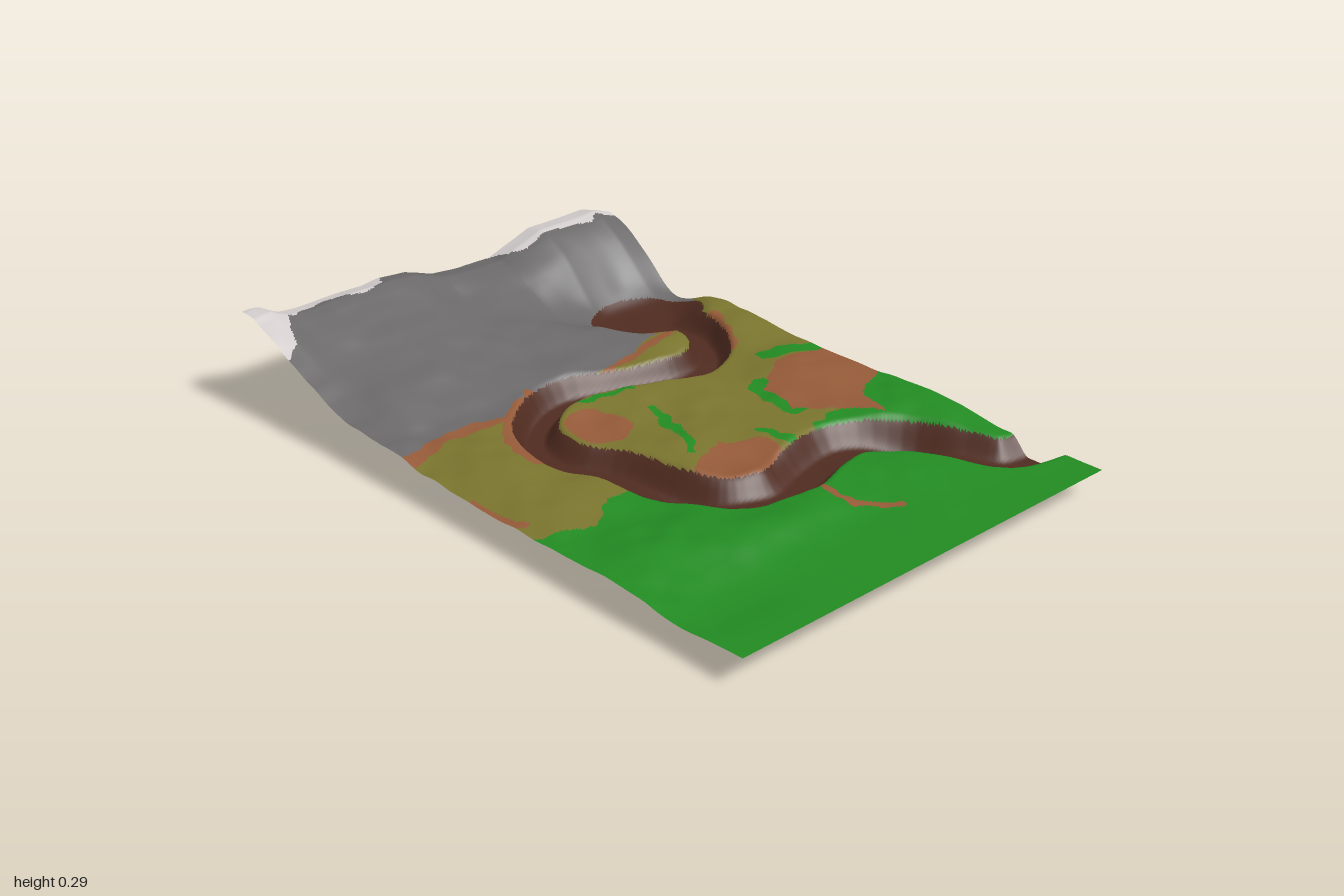
import * as THREE from 'three';

const W = 2 / 3, NX = 176, NZ = 264;
const { smoothstep, lerp, clamp } = THREE.MathUtils;

// --- helpers -------------------------------------------------------------
// piecewise curve through [position, value] pairs, ascending position
function curve(pairs, p) {
  if (p <= pairs[0][0]) return pairs[0][1];
  for (let i = 1; i < pairs.length; i++) {
    const [a, u] = pairs[i - 1], [b, v] = pairs[i];
    if (p <= b) return lerp(u, v, (p - a) / (b - a));
  }
  return pairs[pairs.length - 1][1];
}

function hash(i, j) {
  const s = Math.sin(i * 127.1 + j * 311.7 + 4.3) * 43758.5453;
  return (s - Math.floor(s)) * 2 - 1;
}

function noise(x, z) {
  const i = Math.floor(x), j = Math.floor(z);
  const u = smoothstep(x - i, 0, 1), v = smoothstep(z - j, 0, 1);
  return lerp(lerp(hash(i, j), hash(i + 1, j), u), lerp(hash(i, j + 1), hash(i + 1, j + 1), u), v);
}

// distance from a point to a polyline
function distance(path, x, z) {
  let best = Infinity;
  for (let i = 1; i < path.length; i++) {
    const [ax, az] = path[i - 1], dx = path[i][0] - ax, dz = path[i][1] - az;
    const t = clamp(((x - ax) * dx + (z - az) * dz) / (dx * dx + dz * dz), 0, 1);
    best = Math.min(best, Math.hypot(x - ax - t * dx, z - az - t * dz));
  }
  return best;
}

const inEllipse = ([cx, cz, rx, rz], x, z) => ((x - cx) / rx) ** 2 + ((z - cz) / rz) ** 2 < 1;

function inPolygon(poly, x, z) {
  let inside = false;
  for (let i = 0, j = poly.length - 1; i < poly.length; j = i++) {
    const [ax, az] = poly[i], [bx, bz] = poly[j];
    if ((az > z) !== (bz > z) && x < ((bx - ax) * (z - az)) / (bz - az) + ax) inside = !inside;
  }
  return inside;
}

// sum of smooth hills and hollows: x, z, radius x, radius z, height
const hills = (list, x, z) => list.reduce(
  (sum, [cx, cz, rx, rz, h]) => sum + h * Math.exp(-(((x - cx) / rx) ** 2) - ((z - cz) / rz) ** 2), 0);

// --- layout --------------------------------------------------------------
const riverPoints = [
  [0.76, 0.80], [0.66, 0.79], [0.56, 0.76], [0.50, 0.64], [0.43, 0.51], [0.31, 0.42], [0.17, 0.435],
  [0, 0.48], [-0.14, 0.42], [-0.22, 0.28], [-0.25, 0.11], [-0.31, -0.05], [-0.285, -0.18],
  [-0.19, -0.265], [-0.05, -0.295], [0.14, -0.24], [0.30, -0.20], [0.41, -0.225], [0.48, -0.31],
  [0.50, -0.42], [0.47, -0.52]];
const river = new THREE.CatmullRomCurve3(riverPoints.map(([x, z]) => new THREE.Vector3(x, 0, z)))
  .getPoints(90).map(p => [p.x, p.z]);
const riverWidth = [[-0.36, 0.066], [-0.3, 0.058], [-0.15, 0.066], [0.05, 0.087], [0.5, 0.087], [0.8, 0.08]];

const ridge = [[-W, 0.27], [-0.61, 0.28], [-0.55, 0.265], [-0.25, 0.262], [-0.2, 0.268], [-0.1, 0.257],
  [0, 0.22], [0.1, 0.21], [0.22, 0.21], [0.28, 0.235], [0.38, 0.273], [0.6, 0.275], [W, 0.25]];
const slope = [[-1, 0.92], [-0.94, 1], [-0.9, 0.93], [-0.8, 0.68], [-0.7, 0.47], [-0.6, 0.29], [-0.5, 0.14], [-0.36, 0]];
const plain = [[-0.4, 0.105], [-0.3, 0.102], [-0.1, 0.097], [0.1, 0.092], [0.4, 0.093], [0.7, 0.085], [0.92, 0.082], [1, 0.083]];
const landHills = [
  [-0.5, 0.8, 0.25, 0.1, -0.016], [-0.5, 0.52, 0.2, 0.1, 0.022], [-0.18, 0.63, 0.2, 0.08, 0.026],
  [0.05, 0.74, 0.1, 0.08, -0.008], [0.5, 0.12, 0.14, 0.12, 0.026], [0.6, 0.45, 0.1, 0.14, 0.02],
  [0.6, -0.3, 0.1, 0.13, 0.028], [0.35, -0.34, 0.09, 0.07, 0.015], [-0.52, -0.12, 0.12, 0.12, 0.014],
  [0.3, 0.66, 0.12, 0.1, 0.014], [0, 0.32, 0.12, 0.09, -0.012], [-0.14, -0.09, 0.09, 0.09, -0.01],
  [0.48, -0.66, 0.25, 0.15, -0.11], [0.68, -0.62, 0.08, 0.1, -0.04], [-0.66, -1, 0.08, 0.08, 0.035],
  [-0.3, -0.66, 0.1, 0.16, 0.018], [-0.5, -0.5, 0.09, 0.12, 0.012], [0.05, -0.6, 0.12, 0.1, 0.012]];
const bedHollows = [[-0.2, 0.33, 0.1, 0.12, -0.022], [0.45, 0.52, 0.09, 0.1, -0.022]];

// 1 at the water's edge, 0 at the middle of the channel
function channel(x, z) {
  const pond = Math.hypot((x - 0.46) / 0.178, (z + 0.54) / 0.158);
  return Math.min(distance(river, x, z) / curve(riverWidth, z), pond);
}

function height(x, z) {
  let y = curve(plain, z);
  y += curve(slope, z) * (curve(ridge, x) - y) + hills(landHills, x, z);
  const rough = smoothstep(0.98 - z, 0, 0.45) * smoothstep(z + 1, -0.1, 0.2);
  const rocky = 1 + 0.7 * smoothstep(-z, 0.35, 0.6);
  y += rough * (rocky * 0.01 * noise(x * 6 + 3, z * 6) + 0.004 * noise(x * 15, z * 15 + 7));
  const bed = lerp(0.028, 0.044, smoothstep(-z, 0, 0.4)) + 0.005 * noise(x * 8 + 9, z * 8) + hills(bedHollows, x, z);
  return lerp(bed, Math.max(y, bed), smoothstep(channel(x, z), 0.35, 1.18));
}

// --- ground cover --------------------------------------------------------
const rockEdge = [[-W, -0.25], [-0.48, -0.32], [-0.3, -0.28], [-0.07, -0.35], [0.14, -0.33], [0.35, -0.38], [0.5, -0.4], [0.6, -0.46], [W, -0.56]];
const grassEdge = [[-W, 0.27], [-0.5, 0.31], [-0.4, 0.25], [-0.28, 0.23], [-0.2, 0.5], [0.1, 0.44], [0.2, 0.38], [0.3, 0.31], [0.45, 0.28], [W, 0.18]];
const snowEdge = [[-W, -0.78], [-0.61, -0.8], [-0.56, -0.94], [-0.4, -0.96], [-0.3, -0.93], [-0.22, -0.94], [-0.18, -1.03],
  [0.2, -1.03], [0.25, -0.94], [0.3, -0.91], [0.42, -0.93], [0.55, -0.91], [W, -0.93]];
const soilPatch = [[0.7, -0.01], [0.48, -0.01], [0.35, 0.06], [0.33, 0.2], [0.4, 0.28], [0.48, 0.4], [0.52, 0.27], [0.7, 0.2]];
const soilEllipses = [[-0.14, -0.09, 0.085, 0.1], [0, 0.32, 0.135, 0.105]];
// half width followed by path points
const soilStrips = [
  [0.045, [-0.38, -0.05], [-0.37, -0.14], [-0.28, -0.26], [-0.17, -0.31]],
  [0.02, [-0.68, -0.24], [-0.48, -0.3], [-0.33, -0.27]],
  [0.012, [0.1, -0.32], [0.25, -0.34], [0.4, -0.36]],
  [0.016, [0.57, -0.37], [0.53, -0.27], [0.48, -0.2]],
  [0.015, [0.36, -0.4], [0.43, -0.39]],
  [0.015, [-0.67, 0.02], [-0.65, 0.2]],
  [0.013, [0.05, 0.55], [0.045, 0.67], [0.1, 0.71], [0.14, 0.76]]];
const grassStrips = [
  [0.013, [0.04, -0.06], [0.02, 0.02], [-0.01, 0.1], [-0.06, 0.2]],
  [0.01, [0.03, 0], [0, 0.02], [-0.02, 0.1]],
  [0.012, [-0.1, -0.22], [-0.02, -0.2], [0.06, -0.19]],
  [0.015, [0.15, 0.24], [0.18, 0.33]],
  [0.03, [0.5, -0.07], [0.6, -0.05], [0.68, -0.02]],
  [0.025, [0.36, 0.03], [0.32, 0.12], [0.33, 0.22]]];
const onStrip = (strips, x, z) => strips.some(([w, ...path]) => distance(path, x, z) < w);

function cover(px, pz) {
  if (channel(px, pz) < 1) return 'riverBed';
  // ragged borders
  const x = px + 0.012 * noise(px * 30, pz * 30), z = pz + 0.012 * noise(px * 30 + 50, pz * 30);
  if (z < curve(snowEdge, x)) return 'snowCaps';
  if (onStrip(soilStrips, x, z)) return 'bareSoil';
  if (z < curve(rockEdge, x)) return 'mountainRock';
  if (inPolygon(soilPatch, x, z) || soilEllipses.some(e => inEllipse(e, x, z))) return 'bareSoil';
  if (z > curve(grassEdge, x) || onStrip(grassStrips, x, z)) return 'greenGrass';
  return 'dryGrass';
}

const colors = {
  riverBed: ['dark mud', 0x4f2b20],
  bareSoil: ['soil brown', 0x945a38],
  greenGrass: ['grass green', 0x228b22],
  dryGrass: ['olive', 0x7a742e],
  mountainRock: ['rock grey', 0x6a6868],
  snowCaps: ['snow', 0xd2cccc],
};

export function createModel() {
  const group = new THREE.Group();
  group.name = 'riverLandscape';

  // one height field, so normals stay smooth across the colour borders
  const land = new THREE.PlaneGeometry(2 * W, 2, NX, NZ).rotateX(-Math.PI / 2);
  const pos = land.attributes.position;
  for (let i = 0; i < pos.count; i++) pos.setY(i, height(pos.getX(i), pos.getZ(i)));
  land.computeBoundingBox();
  land.translate(0, -land.boundingBox.min.y, 0);
  land.computeVertexNormals();

  // sort the triangles by ground cover
  const faces = Object.fromEntries(Object.keys(colors).map(k => [k, []]));
  const index = land.index.array;
  for (let i = 0; i < index.length; i += 3) {
    const t = [index[i], index[i + 1], index[i + 2]];
    const mid = f => t.reduce((s, v) => s + f(v), 0) / 3;
    faces[cover(mid(v => pos.getX(v)), mid(v => pos.getZ(v)))].push(...t);
  }

  for (const [name, [label, color]] of Object.entries(colors)) {
    const geometry = new THREE.BufferGeometry();
    geometry.setAttribute('position', pos);
    geometry.setAttribute('normal', land.attributes.normal);
    geometry.setIndex(faces[name]);
    const material = new THREE.MeshStandardMaterial({ color, side: THREE.DoubleSide });
    material.name = label;
    const mesh = new THREE.Mesh(geometry, material);
    mesh.name = name;
    group.add(mesh);
  }
  return group;
}
